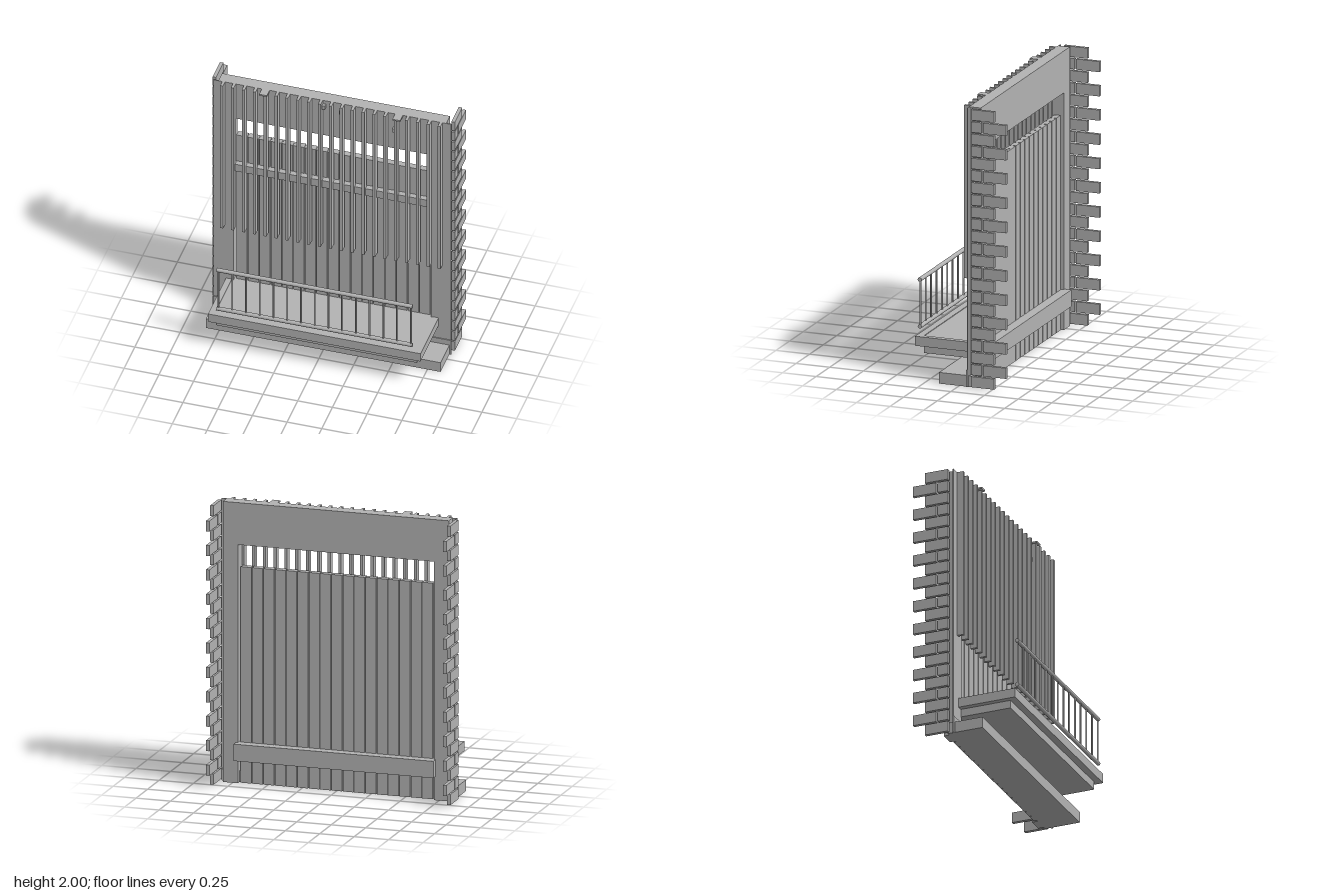
import * as THREE from 'three';

export function createModel() {
  const model = new THREE.Group();
  const grey = new THREE.MeshStandardMaterial({ color: 0xb4b4b4 });
  grey.name = 'plain grey';

  const add = (name, geometry, parent = model) => {
    const mesh = new THREE.Mesh(geometry, grey);
    mesh.name = name;
    parent.add(mesh);
    return mesh;
  };
  // Box given by its limits along each axis
  const box = (name, x0, x1, y0, y1, z0, z1, parent) => {
    const mesh = add(name, new THREE.BoxGeometry(x1 - x0, y1 - y0, z1 - z0), parent);
    mesh.position.set((x0 + x1) / 2, (y0 + y1) / 2, (z0 + z1) / 2);
    return mesh;
  };
  const group = (name) => {
    const g = new THREE.Group();
    g.name = name;
    model.add(g);
    return g;
  };

  // Upright wall shaped like a frame, open at the bottom
  const frame = (name, half, z0, z1) => {
    const pts = [[-half, 0], [-0.711, 0], [-0.711, 1.7], [0.711, 1.7], [0.711, 0], [half, 0], [half, 2], [-half, 2]];
    const shape = new THREE.Shape(pts.map(([x, y]) => new THREE.Vector2(x, y)));
    add(name, new THREE.ExtrudeGeometry(shape, { depth: z1 - z0, bevelEnabled: false })).position.z = z0;
  };
  frame('wall', 0.82, -0.15, -0.07);
  frame('wallFacing', 0.856, -0.07, -0.063);

  // Vertical boards filling the opening, with a cross rail
  const boards = group('boards');
  const boardCount = 17, pitch = 1.4 / boardCount;
  box('boardCore', -0.7, 0.7, 0, 1.535, -0.115, -0.095, boards);
  for (let i = 0; i < boardCount; i++) {
    const x = -0.7 + i * pitch;
    box('board', x + 0.003, x + pitch - 0.003, 0, 1.54, -0.13, -0.085, boards);
  }
  box('crossRail', -0.7, 0.7, 1.255, 1.315, -0.1, -0.045);

  // Slim vertical fins across the front
  const fins = group('fins');
  for (let i = -10; i <= 10; i++) {
    const x = i * 0.0783;
    box('fin', x - 0.01, x + 0.01, 0.76, 2, -0.065, -0.015, fins);
  }

  // Corner bricks: rows alternate one long block and a staggered pair
  const bricks = group('cornerBricks');
  const rows = 23, rowPitch = 2 / rows;
  for (const side of [-1, 1]) {
    for (let i = 0; i < rows; i++) {
      const y0 = i * rowPitch + 0.008, y1 = (i + 1) * rowPitch - 0.003;
      const spans = i % 2 ? [[-0.175, -0.097], [-0.36, -0.186]] : [[-0.27, -0.097]];
      for (const [z0, z1] of spans) {
        box('brick', side * 0.86 - 0.0125, side * 0.86 + 0.0125, y0, y1, z0, z1, bricks);
      }
    }
  }

  // Step and skirting at the foot
  box('step', -0.845, 0.845, 0, 0.08, -0.11, 0.15);
  box('skirting', -0.858, 0.858, 0, 0.122, -0.066, -0.057);

  // Balcony slab with a raised edge trim
  box('balconySlab', -0.725, 0.725, 0.17, 0.29, -0.2, 0.31);
  const trim = group('balconyTrim');
  box('frontTrim', -0.765, 0.765, 0.227, 0.295, 0.31, 0.36, trim);
  for (const s of [-1, 1]) {
    box('sideTrim', s * 0.745 - 0.02, s * 0.745 + 0.02, 0.227, 0.295, -0.065, 0.31, trim);
  }

  // Railing of two round rails and thin bars
  const railing = group('railing');
  const railZ = 0.35;
  for (const y of [0.35, 0.685]) {
    const rail = add('rail', new THREE.CylinderGeometry(0.015, 0.015, 1.41, 12), railing);
    rail.rotation.z = Math.PI / 2;
    rail.position.set(0, y, railZ);
  }
  for (let i = 0; i < 15; i++) {
    const bar = add('railingBar', new THREE.CylinderGeometry(0.007, 0.007, 0.335, 8), railing);
    bar.position.set(-0.693 + i * 0.099, 0.5175, railZ);
  }

  // Brackets hooked over the top edge
  for (const s of [-1, 1]) {
    box('topBracket', s * 0.48 - 0.028, s * 0.48 + 0.028, 1.988, 2, -0.125, 0);
  }

  // Small blocks on the upper wall
  for (const [x, y] of [[-0.06, 1.955], [0.07, 1.94], [0.455, 1.87]]) {
    box('wallBlock', x - 0.014, x + 0.014, y - 0.016, y + 0.016, -0.065, -0.04);
  }

  return model;
}
